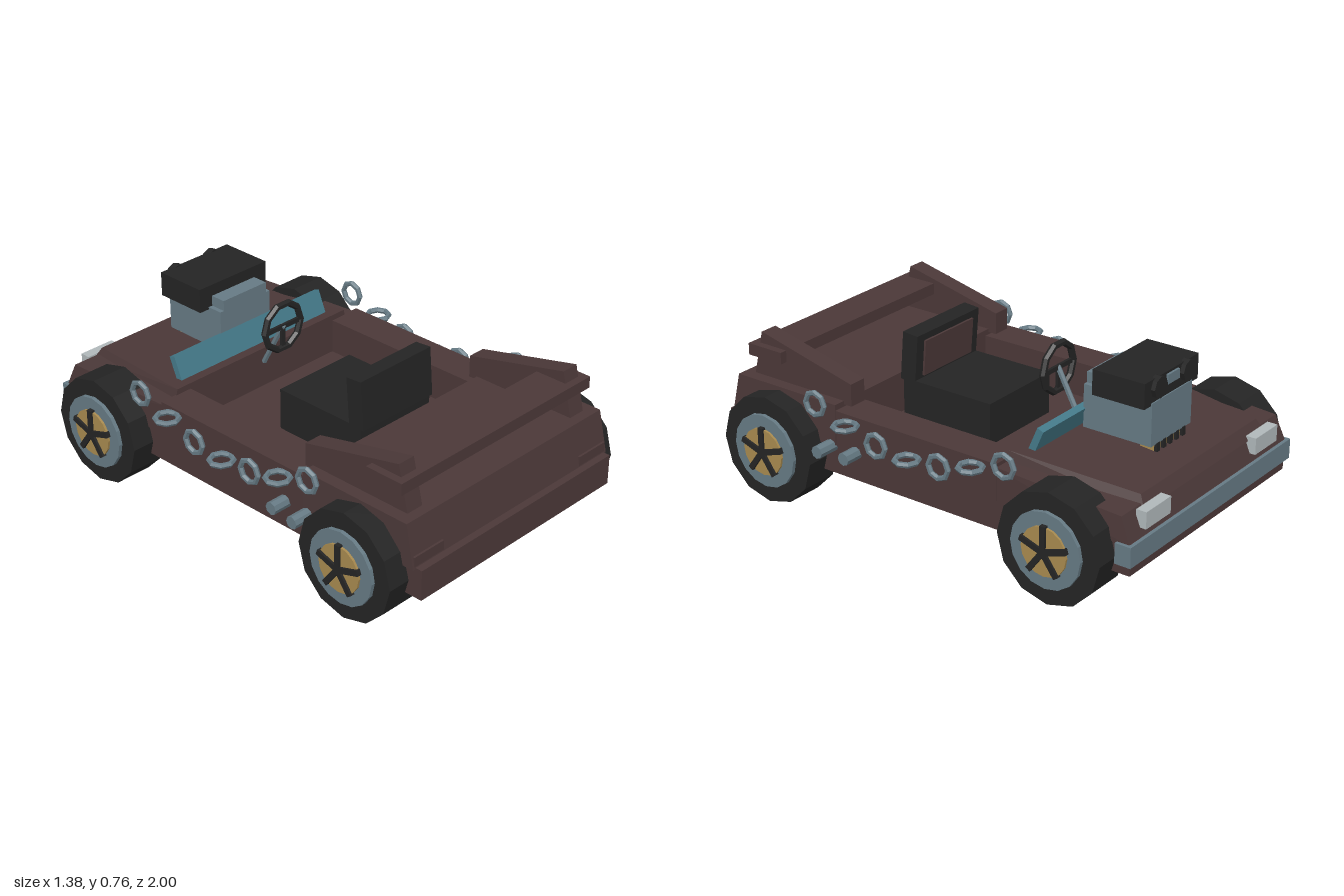
import * as THREE from 'three';
import { ConvexGeometry } from 'three/addons/geometries/ConvexGeometry.js';

const mat = (name, color) => {
  const m = new THREE.MeshStandardMaterial({ color, flatShading: true });
  m.name = name;
  return m;
};

export function createModel() {
  const car = new THREE.Group();
  car.name = 'buggy';
  const brown = mat('body brown', 0x4b3838);
  const black = mat('rubber black', 0x242424);
  const steel = mat('steel grey', 0x667a84);
  const teal = mat('glass teal', 0x457a8a);
  const gold = mat('gold', 0xa88a4f);
  const red = mat('tail light red', 0x9c352c);
  const pale = mat('headlight grey', 0xb0b8ba);

  const add = (name, geo, material, parent = car) => {
    const mesh = new THREE.Mesh(geo, material);
    mesh.name = name;
    parent.add(mesh);
    return mesh;
  };
  // box given by its limits on each axis
  const box = (name, m, x0, x1, y0, y1, z0, z1, parent) => {
    const b = add(name, new THREE.BoxGeometry(x1 - x0, y1 - y0, z1 - z0), m, parent);
    b.position.set((x0 + x1) / 2, (y0 + y1) / 2, (z0 + z1) / 2);
    return b;
  };
  // convex block from mirrored points [half width, y, z]
  const hull = (name, m, pts) => add(name, new ConvexGeometry(
    pts.flatMap(([x, y, z]) => [new THREE.Vector3(x, y, z), new THREE.Vector3(-x, y, z)])), m);

  // chassis and bodywork
  box('chassis', brown, -0.555, 0.555, 0.17, 0.3, -0.985, 1);
  hull('rearDeck', brown, [[0.57, 0.295, 0.41], [0.57, 0.295, 0.97],
    [0.565, 0.475, 0.41], [0.565, 0.475, 0.93]]);
  hull('frontBody', brown, [[0.56, 0.295, -0.38], [0.56, 0.295, -0.985],
    [0.56, 0.435, -0.38], [0.55, 0.4, -0.94]]);
  hull('hood', brown, [[0.5, 0.4, -0.38], [0.43, 0.38, -0.96],
    [0.48, 0.475, -0.38], [0.41, 0.43, -0.93]]);
  box('crossbar', brown, -0.545, 0.545, 0.565, 0.615, 0.71, 0.885);

  // windscreen, bumper, seat
  const screen = box('windscreen', teal, -0.415, 0.415, 0.46, 0.565, -0.475, -0.445);
  screen.rotation.x = -0.4;
  box('frontBumper', steel, -0.575, 0.575, 0.215, 0.3, -1, -0.93);
  box('seatCushion', black, -0.2, 0.2, 0.3, 0.48, -0.08, 0.36);
  const back = new THREE.Group();
  back.name = 'seatBack';
  back.position.set(0, 0.47, 0.335);
  back.rotation.x = -0.08;
  car.add(back);
  box('seatBackFrame', black, -0.2, 0.2, 0, 0.21, -0.035, 0.04, back);
  box('seatBackPanel', brown, -0.155, 0.155, 0.025, 0.18, -0.044, -0.035, back);

  // steering wheel and column
  add('steeringWheel', new THREE.TorusGeometry(0.102, 0.015, 6, 10), black).position.set(0, 0.62, -0.265);
  for (let i = 0; i < 3; i++) {
    const spoke = new THREE.Group();
    spoke.name = 'steeringSpoke';
    spoke.position.set(0, 0.62, -0.265);
    spoke.rotation.z = Math.PI / 2 * (i + 1);
    box('steeringSpokeBar', black, -0.01, 0.01, 0, 0.1, -0.006, 0.006, spoke);
    car.add(spoke);
  }
  const column = add('steeringColumn', new THREE.CylinderGeometry(0.012, 0.012, 0.24, 6), steel);
  column.position.set(0, 0.52, -0.32);
  column.rotation.x = 0.5;

  // engine on the hood
  box('engineBlock', steel, -0.14, 0.14, 0.475, 0.655, -0.795, -0.485);
  box('engineTop', steel, -0.12, 0.12, 0.65, 0.7, -0.57, -0.485);
  box('engineBase', gold, -0.1, 0.1, 0.42, 0.48, -0.785, -0.72);
  box('airIntake', black, -0.187, 0.187, 0.645, 0.75, -0.79, -0.555);
  box('intakeThroat', steel, -0.04, 0.04, 0.7, 0.74, -0.8, -0.785);
  for (let i = -2; i <= 2; i++)
    box('enginePipe', black, i * 0.045 - 0.01, i * 0.045 + 0.01, 0.42, 0.478, -0.798, -0.78);
  for (const x of [-0.1, 0.1]) {
    const lobe = add('intakeLobe', new THREE.CylinderGeometry(0.045, 0.045, 0.03, 8), black);
    lobe.position.set(x, 0.712, -0.793);
    lobe.rotation.x = Math.PI / 2;
  }

  // sloping side fin, drawn as (z, y)
  const finShape = new THREE.Shape([[0.37, 0.46], [0.89, 0.46], [0.84, 0.665], [0.37, 0.555]]
    .map(([z, y]) => new THREE.Vector2(-z, y)));
  const finGeo = new THREE.ExtrudeGeometry(finShape, { depth: 0.08, bevelEnabled: false });
  finGeo.translate(0, 0, -0.04).rotateY(Math.PI / 2);

  const disc = (r, x0, x1, n) =>
    new THREE.CylinderGeometry(r, r, x1 - x0, n).rotateZ(Math.PI / 2).translate((x0 + x1) / 2, 0, 0);
  const ringGeo = new THREE.TorusGeometry(0.048, 0.012, 6, 8);

  for (const s of [-1, 1]) {
    const sided = (name, m, x0, x1, ...rest) =>
      box(name, m, Math.min(s * x0, s * x1), Math.max(s * x0, s * x1), ...rest);
    sided('sideSill', brown, 0.41, 0.563, 0.295, 0.45, -0.385, 0.415);
    sided('tailLight', red, 0.32, 0.48, 0.345, 0.41, 0.92, 0.94);
    sided('rearCorner', brown, 0.4, 0.56, 0.295, 0.345, 0.9, 0.968);
    sided('headlight', pale, 0.305, 0.47, 0.33, 0.4, -0.995, -0.95);
    add('sideFin', finGeo, brown).position.x = s * 0.472;

    // wheels
    for (const z of [0.705, -0.69]) {
      const wheel = new THREE.Group();
      wheel.name = z > 0 ? 'rearWheel' : 'frontWheel';
      wheel.position.set(0, 0.23, z);
      if (s < 0) wheel.rotation.y = Math.PI;
      add('tyre', disc(0.232, 0.49, 0.655, 12), black, wheel);
      add('rim', disc(0.158, 0.6, 0.672, 16), steel, wheel);
      add('hubDisc', disc(0.102, 0.6, 0.682, 16), gold, wheel);
      for (let i = 0; i < 5; i++) {
        const spoke = new THREE.Group();
        spoke.name = 'wheelSpoke';
        spoke.rotation.x = i * Math.PI * 2 / 5;
        box('wheelSpokeBar', black, 0.67, 0.692, 0, 0.108, -0.012, 0.012, spoke);
        wheel.add(spoke);
      }
      car.add(wheel);
    }

    // hanging chain of alternating upright and flat links
    [0.48, 0.425, 0.385, 0.37, 0.385, 0.43, 0.48].forEach((y, i) => {
      const link = add('chainLink', ringGeo, steel);
      link.position.set(s * 0.61, y, 0.475 - i * 0.155);
      if (i % 2) link.rotation.x = Math.PI / 2;
      else link.rotation.y = Math.PI / 2;
    });

    // exhaust stubs
    for (const z of [0.56, 0.435, 0.31]) {
      const pipe = add('exhaustStub', disc(0.027, 0.53, z > 0.4 ? 0.655 : 0.64, 8), steel);
      pipe.position.set(0, 0.295, z);
      if (s < 0) pipe.rotation.y = Math.PI;
    }
  }
  return car;
}
